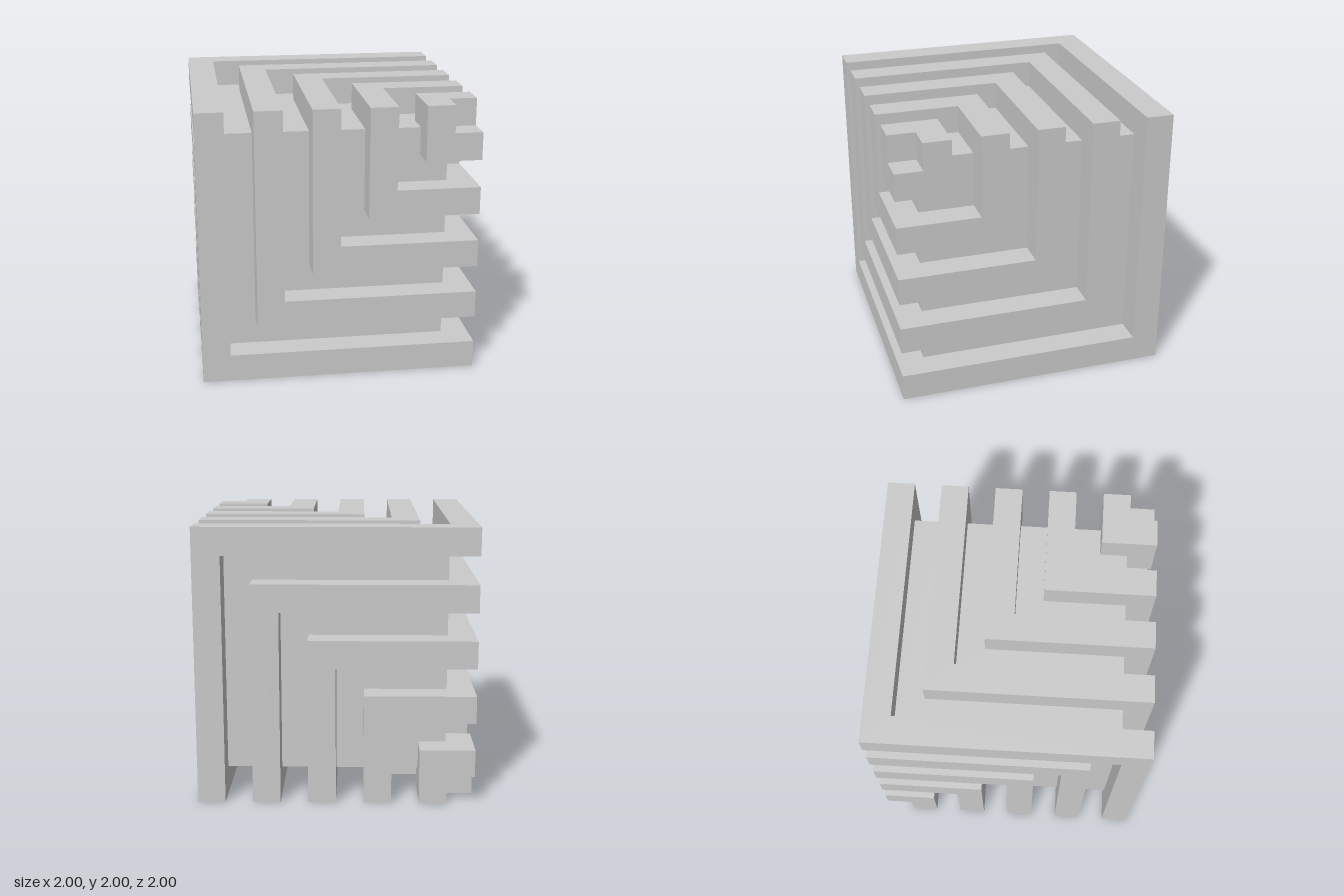
import * as THREE from 'three';

const CELLS = 10;          // the cube is a 10 x 10 x 10 lattice
const CELL = 2 / CELLS;    // bar thickness

// Zigzag ring of six mitred square bars along the edges of the cube spanning
// cells lo..hi, leaving out the edges that meet the two diagonal corners.
// A bar at heights (p, q) runs from q to p, which mitres its ends.
function ringGeometry(lo, hi) {
  const section = [[hi, lo], [hi + 1, lo], [hi + 1, lo + 1], [hi, lo + 1]];
  const positions = [];

  const addTriangle = (corners, turn) => {
    const degenerate = corners.some((c, i) =>
      c.every((v, k) => v === corners[(i + 1) % 3][k]));
    if (degenerate) return;
    for (const c of corners) {
      // cyclic turn of the axes carries the bar to x, y or z
      const at = (k) => c[(k + turn) % 3] * CELL;
      positions.push(at(0) - 1, at(1), at(2) - 1);
    }
  };

  for (let turn = 0; turn < 3; turn++) {
    for (const swapped of [false, true]) {
      const point = (x, [p, q]) => (swapped ? [x, q, p] : [x, p, q]);
      section.forEach((s, i) => {
        const t = section[(i + 1) % 4];
        const quad = [point(s[1], s), point(t[1], t), point(t[0], t), point(s[0], s)];
        if (swapped) quad.reverse();
        addTriangle([quad[0], quad[1], quad[2]], turn);
        addTriangle([quad[0], quad[2], quad[3]], turn);
      });
    }
  }

  const geometry = new THREE.BufferGeometry();
  geometry.setAttribute('position', new THREE.Float32BufferAttribute(positions, 3));
  geometry.computeVertexNormals();
  return geometry;
}

export function createModel() {
  const model = new THREE.Group();
  model.name = 'nestedRingCube';
  const material = new THREE.MeshStandardMaterial({ color: 0xcccccc });

  // Concentric tubes: each ring size is repeated along the cube's diagonal
  for (let size = CELLS; size >= 2; size -= 2) {
    const tube = new THREE.Group();
    tube.name = `hexTube${size}`;
    for (let lo = 0; lo + size <= CELLS; lo++) {
      const ring = new THREE.Mesh(ringGeometry(lo, lo + size - 1), material);
      ring.name = `ring${size}Step${lo}`;
      tube.add(ring);
    }
    model.add(tube);
  }
  return model;
}
